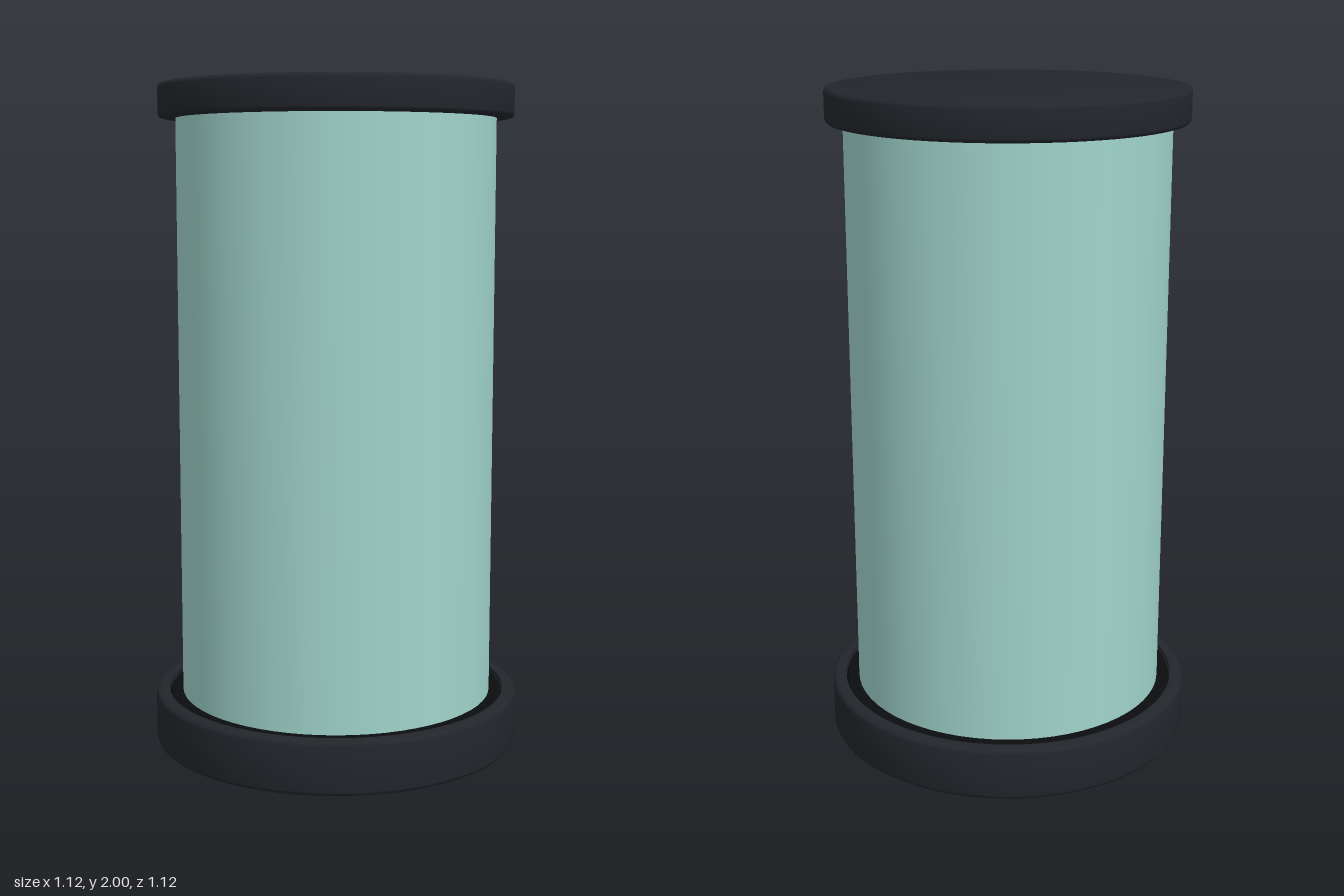
import * as THREE from 'three';
import { toCreasedNormals } from 'three/addons/utils/BufferGeometryUtils.js';

const SEGMENTS = 64;

function lathe(name, profile, color, side = THREE.FrontSide) {
  const points = profile.map(([r, y]) => new THREE.Vector2(r, y));
  const geometry = toCreasedNormals(new THREE.LatheGeometry(points, SEGMENTS), 0.6);
  const mesh = new THREE.Mesh(geometry, new THREE.MeshStandardMaterial({ color, side }));
  mesh.name = name;
  return mesh;
}

// Outer wall of a disc with small rounded edges, from bottom to top
function roundedRim(radius, bottom, top, bevel) {
  const points = [];
  for (const [cy, start] of [[bottom + bevel, -Math.PI / 2], [top - bevel, 0]]) {
    for (let i = 0; i <= 3; i++) {
      const a = start + (i / 3) * Math.PI / 2;
      points.push([radius - bevel + bevel * Math.cos(a), cy + bevel * Math.sin(a)]);
    }
  }
  return points;
}

export function createModel() {
  const group = new THREE.Group();
  group.name = 'cylinderCase';
  const dark = 0x22262b;

  // Base with a shallow recess that holds the tube
  group.add(lathe('base', [
    [0, 0], ...roundedRim(0.56, 0, 0.16, 0.014),
    [0.52, 0.16], [0.52, 0.145], [0, 0.145],
  ], dark));

  // Dark seal around the foot of the tube
  group.add(lathe('seal', [[0.518, 0.145], [0.512, 0.153], [0.475, 0.153]], 0x0c0d0f));

  // Tinted tube
  group.add(lathe('tube', [[0.478, 0.145], [0.478, 1.91]], 0xa0d4cb, THREE.DoubleSide));

  // Lid overhanging the tube
  group.add(lathe('lid', [[0, 1.9], ...roundedRim(0.53, 1.9, 2, 0.012), [0, 2]], dark));

  return group;
}
